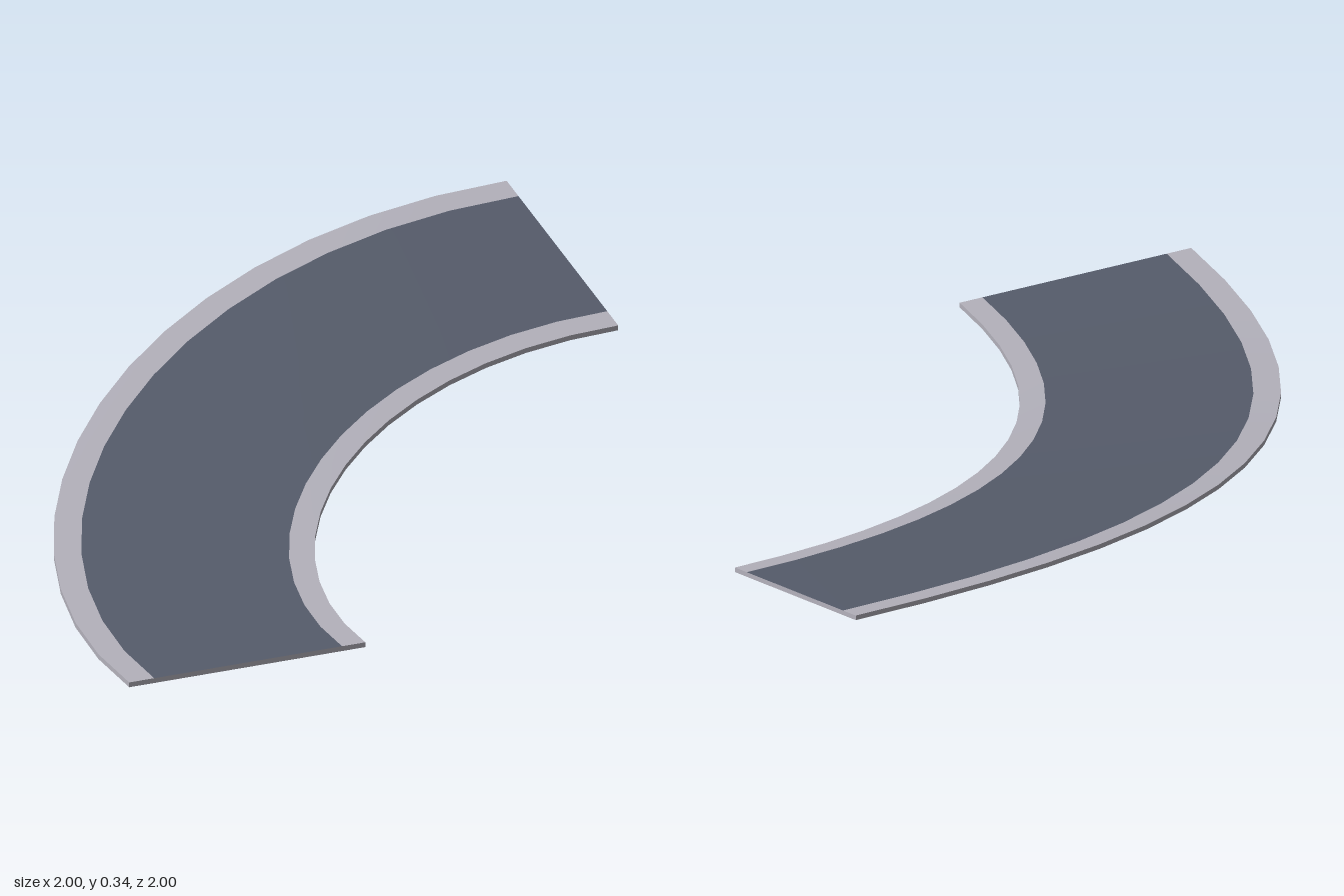
import * as THREE from 'three';

const STEPS = 16, THICK = 0.013;
const INNER = 1.34, ROAD_IN = 1.405, ROAD_OUT = 1.93, OUTER = 2;

// Quarter-turn direction, sampled along a cubic curve
const arc = new THREE.CubicBezierCurve(
  new THREE.Vector2(-1, 0), new THREE.Vector2(-1, 0.5523),
  new THREE.Vector2(-0.5523, 1), new THREE.Vector2(0, 1));

// Point on the banked, rising deck at radius r; lift is 1 on top and 0 below
function deckPoint(t, r, lift) {
  const d = arc.getPoint(t);
  const ease = t * t * (3 - 2 * t);
  const rise = 0.17 + (r - INNER) * 0.245;
  return [1 + d.x * r, ease * rise + lift * THICK, 1 - d.y * r];
}

function meshFrom(name, positions, index, material) {
  const g = new THREE.BufferGeometry();
  g.setAttribute('position', new THREE.Float32BufferAttribute(positions, 3));
  g.setIndex(index);
  g.computeVertexNormals();
  const mesh = new THREE.Mesh(g, material);
  mesh.name = name;
  return mesh;
}

// Strip swept along the curve between two [radius, lift] edges
function strip(name, a, b, material) {
  const positions = [], index = [];
  for (let i = 0; i <= STEPS; i++) {
    positions.push(...deckPoint(i / STEPS, ...a), ...deckPoint(i / STEPS, ...b));
    if (i < STEPS) {
      const k = i * 2;
      index.push(k, k + 1, k + 2, k + 1, k + 3, k + 2);
    }
  }
  return meshFrom(name, positions, index, material);
}

// Flat end face closing the slab
function endCap(name, t, material) {
  const corners = [[INNER, 0], [OUTER, 0], [OUTER, 1], [INNER, 1]];
  const positions = corners.flatMap(([r, lift]) => deckPoint(t, r, lift));
  return meshFrom(name, positions, t === 0 ? [0, 2, 1, 0, 3, 2] : [0, 1, 2, 0, 2, 3], material);
}

export function createModel() {
  const asphalt = new THREE.MeshStandardMaterial({ color: 0x565c6b, side: THREE.DoubleSide });
  asphalt.name = 'asphalt';
  const concrete = new THREE.MeshStandardMaterial({ color: 0xb4b2bc, side: THREE.DoubleSide });
  concrete.name = 'concrete';

  const group = new THREE.Group();
  group.name = 'curvedRoadRamp';
  group.add(
    // Upper surface
    strip('roadSurface', [ROAD_OUT, 1], [ROAD_IN, 1], asphalt),
    strip('innerKerb', [ROAD_IN, 1], [INNER, 1], concrete),
    strip('outerKerb', [OUTER, 1], [ROAD_OUT, 1], concrete),
    // Sides and underside of the slab
    strip('innerSide', [INNER, 1], [INNER, 0], concrete),
    strip('outerSide', [OUTER, 0], [OUTER, 1], concrete),
    strip('underside', [INNER, 0], [OUTER, 0], concrete),
    endCap('lowerEnd', 0, concrete),
    endCap('upperEnd', 1, concrete));

  // Make every strip wind outward
  const expected = {
    roadSurface: [0, 1, 0], innerKerb: [0, 1, 0], outerKerb: [0, 1, 0], underside: [0, -1, 0],
    innerSide: [1, 0, 1], outerSide: [-1, 0, -1], lowerEnd: [0, 0, 1], upperEnd: [1, 0, 0],
  };
  group.children.forEach((mesh) => {
    const g = mesh.geometry, n = new THREE.Vector3().fromBufferAttribute(g.attributes.normal, 0);
    if (n.dot(new THREE.Vector3(...expected[mesh.name])) < 0) {
      g.setIndex(Array.from(g.index.array).reverse());
      g.computeVertexNormals();
    }
  });
  return group;
}
